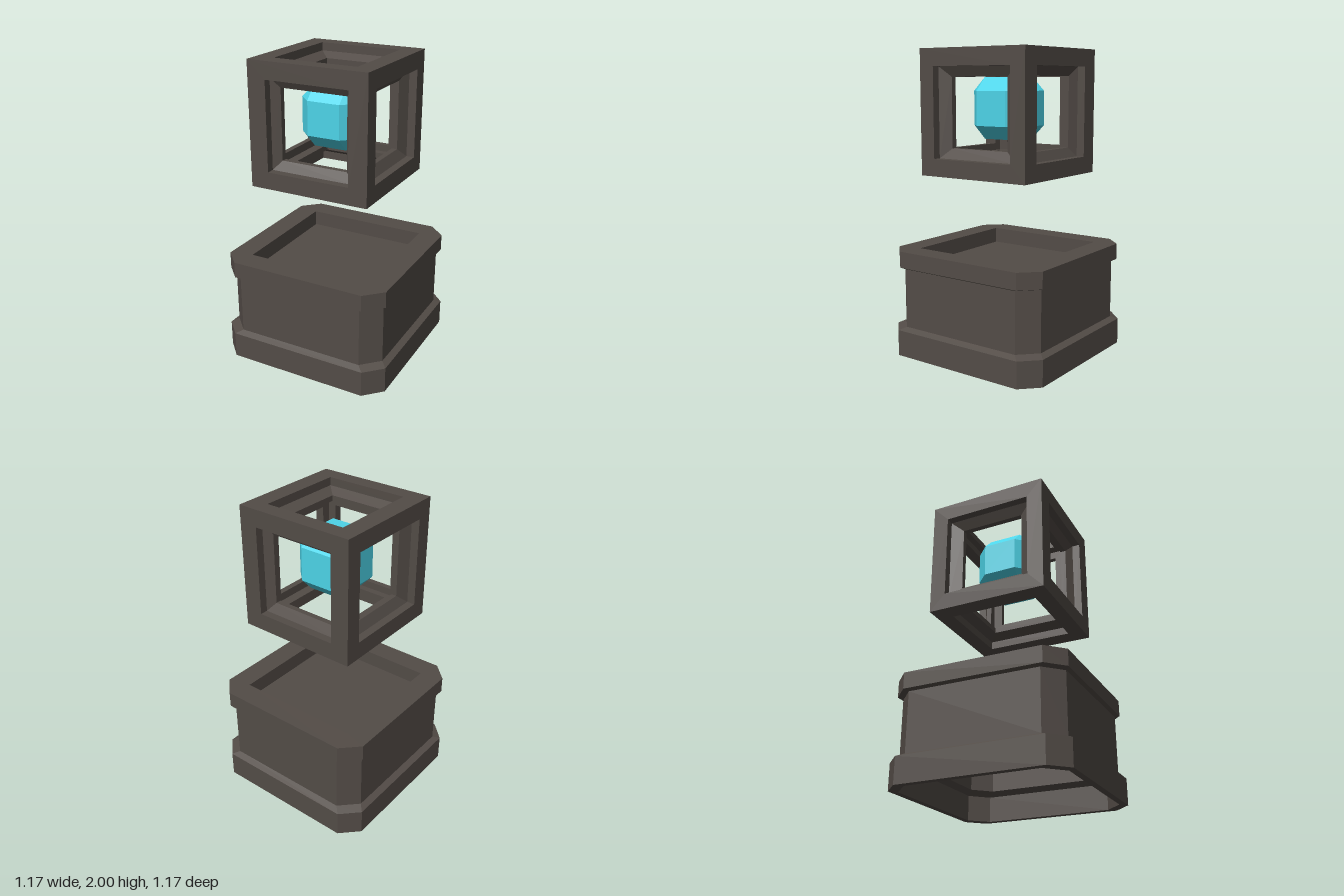
import * as THREE from 'three';
import { ConvexGeometry } from 'three/addons/geometries/ConvexGeometry.js';

const stone = new THREE.MeshStandardMaterial({ color: 0x534c47, flatShading: true });
const crystal = new THREE.MeshStandardMaterial({ color: 0x4dd4e8, flatShading: true });

// Rectangular outline of half-widths hx, hz with its corners cut off by c
function outline([hx, hz], y, c) {
  const fx = hx - c, fz = hz - c;
  return [[hx, -fz], [hx, fz], [fx, hz], [-fx, hz], [-hx, fz], [-hx, -fz], [-fx, -hz], [fx, -hz]]
    .map(([x, z]) => new THREE.Vector3(x, y, z));
}

// Joins successive outlines [halfWidth or [hx, hz], y, cornerCut] into one faceted skin
function sweep(profile) {
  const rings = profile.map(([h, y, c = 0]) => outline(Array.isArray(h) ? h : [h, h], y, c));
  const positions = [];
  const triangle = (...corners) => {
    if (new THREE.Triangle(...corners).getArea() < 1e-7) return;
    corners.forEach((p) => positions.push(p.x, p.y, p.z));
  };
  for (let i = 0; i < rings.length - 1; i++) {
    for (let j = 0; j < 8; j++) {
      const k = (j + 1) % 8;
      triangle(rings[i][j], rings[i + 1][j], rings[i + 1][k]);
      triangle(rings[i][j], rings[i + 1][k], rings[i][k]);
    }
  }
  const geometry = new THREE.BufferGeometry();
  geometry.setAttribute('position', new THREE.Float32BufferAttribute(positions, 3));
  geometry.computeVertexNormals();
  return geometry;
}

function part(name, geometry, material) {
  const mesh = new THREE.Mesh(geometry, material);
  mesh.name = name;
  return mesh;
}

// Hollow pedestal: tray underside, inner walls, foot, body, cap, then the sunken tray
function createPedestal() {
  const cut = 0.112;
  return part('pedestal', sweep([
    [0, 0.573], [0.46, 0.573], [0.46, 0.66], [0.502, 0.66, cut],
    [0.502, 0.2, cut], [0.543, 0.17, cut], [0.543, 0, cut],
    [0.587, 0, cut], [0.587, 0.172, cut], [0.547, 0.192, cut],
    [0.547, 0.583, cut], [0.572, 0.595, cut], [0.572, 0.702, cut],
    [0.42, 0.702], [0.42, 0.597], [0, 0.597],
  ]), stone);
}

// Open cube made of six windows, each with a bevelled inner frame set back from the face
function createFrame() {
  const frame = new THREE.Group();
  frame.name = 'cubeFrame';
  frame.position.y = 1.594;
  const panel = (opening, hole) => sweep([
    [0.406, 0.406], [opening, 0.406], [opening, 0.352],
    [hole, 0.317], [hole, 0.28], [0.28, 0.28],
  ]);
  const level = panel([0.282, 0.297], [0.215, 0.235]);
  const sideways = panel([0.293, 0.298], [0.227, 0.218]);
  const facing = panel([0.282, 0.293], [0.228, 0.233]);
  const up = new THREE.Vector3(0, 1, 0);
  const sides = {
    top: [level, 0, 1, 0], bottom: [level, 0, -1, 0],
    left: [sideways, 1, 0, 0], right: [sideways, -1, 0, 0],
    front: [facing, 0, 0, 1], back: [facing, 0, 0, -1],
  };
  for (const [side, [geometry, ...direction]] of Object.entries(sides)) {
    const mesh = part(`${side}Panel`, geometry, stone);
    mesh.quaternion.setFromUnitVectors(up, new THREE.Vector3(...direction));
    frame.add(mesh);
  }
  return frame;
}

// Cube-like crystal with bevelled edges and corners
function createCrystal() {
  const wide = 0.2, flat = 0.112, points = [];
  for (const x of [-1, 1]) for (const y of [-1, 1]) for (const z of [-1, 1]) {
    points.push(
      new THREE.Vector3(x * wide, y * flat, z * flat),
      new THREE.Vector3(x * flat, y * wide, z * flat),
      new THREE.Vector3(x * flat, y * flat, z * wide),
    );
  }
  const mesh = part('crystal', new ConvexGeometry(points), crystal);
  mesh.position.y = 1.621;
  return mesh;
}

export function createModel() {
  const model = new THREE.Group();
  model.name = 'floatingCrystalPedestal';
  model.add(createPedestal(), createFrame(), createCrystal());
  return model;
}
